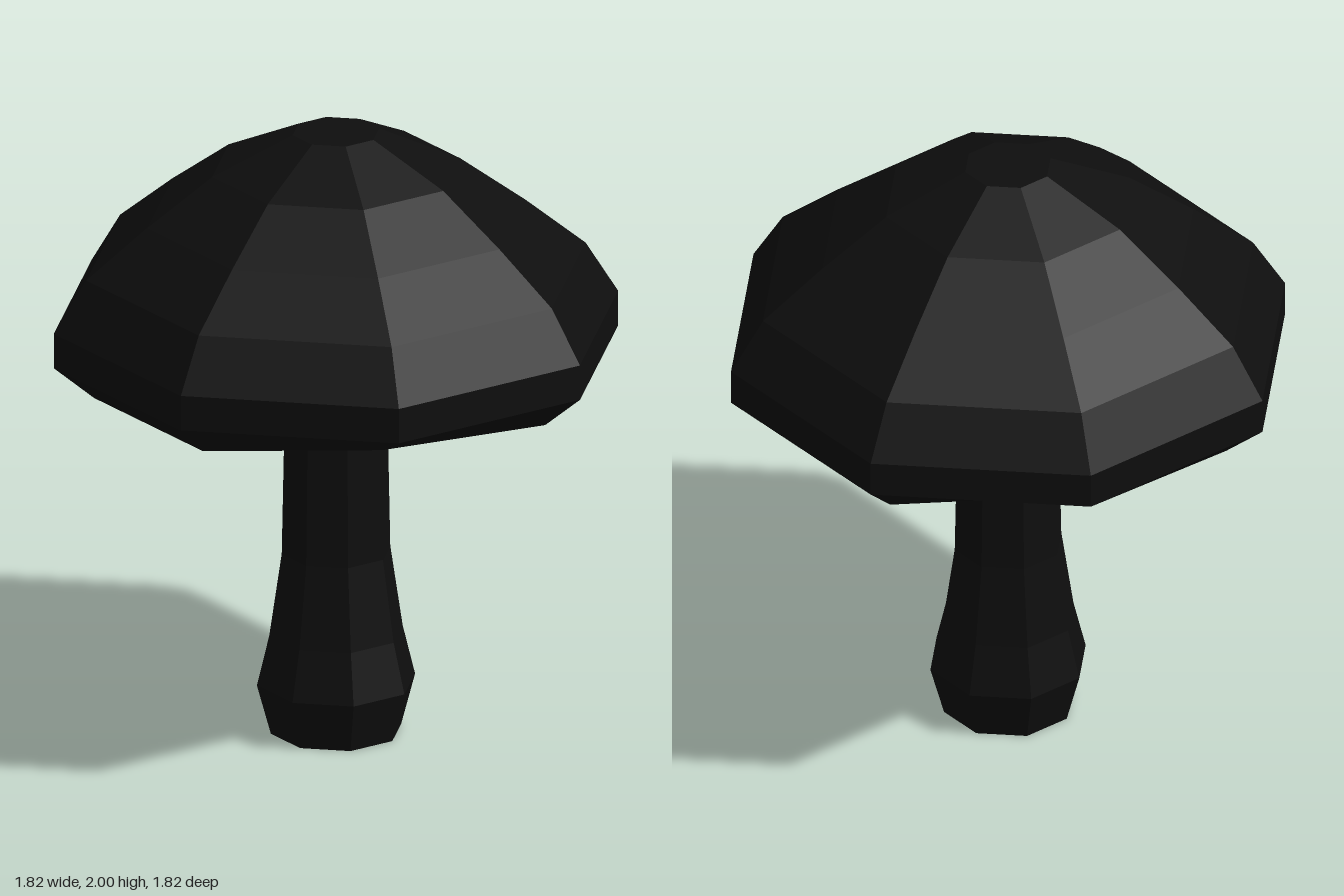
import * as THREE from 'three';

const SIDES = 8;
const LIP_Y = 1.17;

// Faceted eight-sided solid of revolution; profile runs from bottom axis to top axis
function facetedLathe(profile, adjust) {
  const points = profile.map(([r, y]) => new THREE.Vector2(r, y));
  const lathe = new THREE.LatheGeometry(points, SIDES);
  if (adjust) adjust(lathe.attributes.position);
  const geometry = lathe.toNonIndexed();
  geometry.computeVertexNormals();
  return geometry;
}

// Pull the front and back corners of the lower lip inward
function narrowLip(position) {
  for (let i = 0; i < position.count; i++) {
    const onLip = Math.abs(position.getY(i) - LIP_Y) < 1e-4;
    if (onLip && Math.abs(position.getX(i)) < 1e-4) {
      position.setZ(i, Math.sign(position.getZ(i)) * 0.665);
    }
  }
}

export function createModel() {
  const charcoal = new THREE.MeshStandardMaterial({ color: 0x0e0e0e });
  charcoal.name = 'charcoal';

  const model = new THREE.Group();
  model.name = 'mushroom';

  // Stem with a swollen foot, its top tucked inside the cap
  const stem = new THREE.Mesh(facetedLathe([
    [0, 0], [0.21, 0], [0.255, 0.165], [0.215, 0.33],
    [0.175, 0.6], [0.165, 1.1], [0.165, 1.32], [0, 1.32],
  ]), charcoal);
  stem.name = 'stem';
  model.add(stem);

  // Cap: hollow underside, lip, rim band and dome
  const cap = new THREE.Mesh(facetedLathe([
    [0, 1.29], [0.165, 1.27], [0.78, LIP_Y], [0.91, 1.28], [0.91, 1.395],
    [0.805, 1.565], [0.61, 1.725], [0.4, 1.88], [0.14, 2], [0, 2],
  ], narrowLip), charcoal);
  cap.name = 'cap';
  model.add(cap);

  return model;
}
